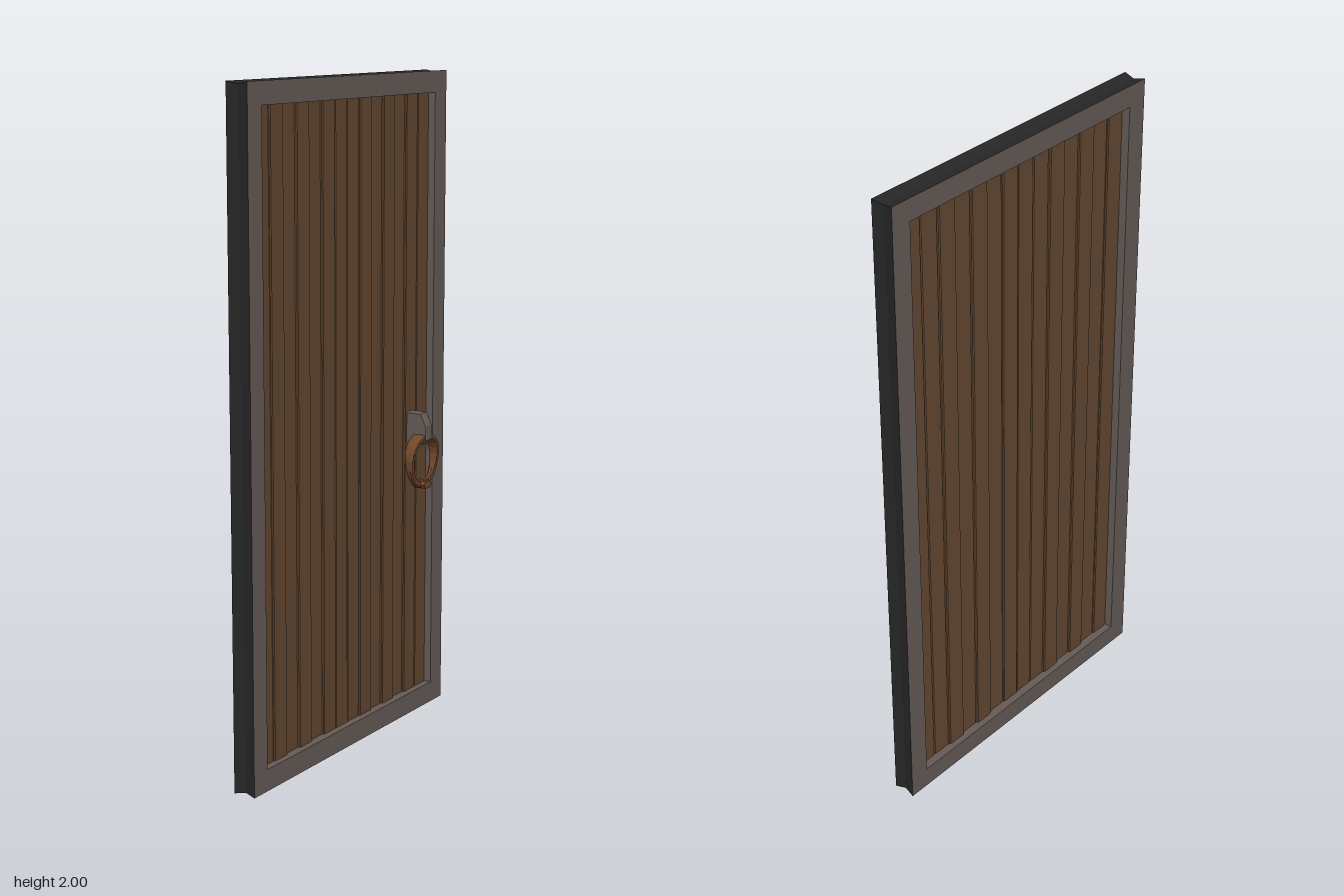
import * as THREE from 'three';

const mat = (name, color) => {
  const m = new THREE.MeshStandardMaterial({ color, flatShading: true });
  m.name = name;
  return m;
};

// Joins closed loops of points into faceted quads; rows[i][k] is point k of loop i.
function loft(rows) {
  const pos = [];
  for (let i = 0; i < rows.length - 1; i++) {
    const n = rows[i].length;
    for (let k = 0; k < n; k++) {
      const j = (k + 1) % n;
      const [a, b, c, d] = [rows[i][k], rows[i][j], rows[i + 1][j], rows[i + 1][k]];
      pos.push(...a, ...b, ...c, ...a, ...c, ...d);
    }
  }
  const g = new THREE.BufferGeometry();
  g.setAttribute('position', new THREE.Float32BufferAttribute(pos, 3));
  g.computeVertexNormals();
  return g;
}

// Rectangle of the door outline, moved inwards by d, at depth x.
const outline = ([x, d]) => [
  [x, d, 0.515 - d], [x, d, -0.515 + d], [x, 2 - d, -0.515 + d], [x, 2 - d, 0.515 - d],
];

export function createModel() {
  const model = new THREE.Group();
  const wood = mat('plank wood', 0x634731);
  const iron = mat('grey iron', 0x655b57);
  const dark = mat('dark edge', 0x272727);
  const bronze = mat('ring bronze', 0x6f472b);

  const add = (name, geometry, material, parent = model) => {
    const mesh = new THREE.Mesh(geometry, material);
    mesh.name = name;
    parent.add(mesh);
    return mesh;
  };

  // Mitred frame with a shallow V groove around the outer edge
  add('frame', loft([[0.01, 0], [0.01, 0.065], [-0.06, 0.065], [-0.06, 0]].map(outline)), iron);
  add('frameEdge', loft([[-0.06, 0], [-0.025, 0.007], [0.01, 0]].map(outline)), dark);

  // Planks at slightly uneven depths, with bevelled long edges
  const planks = new THREE.Group();
  planks.name = 'planks';
  model.add(planks);
  const count = 14, pitch = 0.9 / count, half = pitch / 2;
  const offsets = [0, 0.004, -0.003, 0.003, -0.004, 0.002, 0.002];
  for (let i = 0; i < count; i++) {
    const t = 0.011, b = 0.003;
    const s = new THREE.Shape([
      [-t + b, -half], [t - b, -half], [t, -half + b], [t, half - b],
      [t - b, half], [-t + b, half], [-t, half - b], [-t, -half + b],
    ].map(([x, y]) => new THREE.Vector2(x, y)));
    const g = new THREE.ExtrudeGeometry(s, { depth: 1.88, bevelEnabled: false });
    g.rotateX(-Math.PI / 2);
    const plank = add('plank', g, wood, planks);
    plank.position.set(-0.025 + offsets[i % 7], 0.06, 0.45 - (i + 0.5) * pitch);
  }

  // Handle: bracket, ring and knob
  const handle = new THREE.Group();
  handle.name = 'handle';
  handle.position.set(0, 0, -0.35);
  model.add(handle);

  const side = new THREE.Shape([
    [-0.02, 0.968], [-0.02, 0.87], [0.045, 0.87], [0.058, 0.885], [0.058, 0.93], [0.04, 0.968],
  ].map(([x, y]) => new THREE.Vector2(x, y)));
  const bracket = new THREE.ExtrudeGeometry(side, {
    depth: 0.024, bevelEnabled: true, bevelSegments: 1, bevelSize: 0.003, bevelThickness: 0.006, bevelOffset: -0.003,
  });
  bracket.translate(0, 0, -0.012);
  add('bracket', bracket, iron, handle);

  // Drop-shaped ring, broad at the top and narrowing to a point below
  const steps = 20;
  const section = [[1, 0.6], [1, -0.6], [0.5, -1], [-0.5, -1], [-1, -0.6], [-1, 0.6], [-0.5, 1], [0.5, 1], [1, 0.6]];
  const rows = section.map(([sx, sr]) => {
    const loop = [];
    for (let k = 0; k < steps; k++) {
      const a = (k / steps) * Math.PI * 2;
      const up = Math.sin(a);
      const r = 0.073 + sr * 0.009;
      const point = up < 0 ? 1 + 0.22 * up * up * up * up : 1;
      const drop = up < 0 ? 1.18 : 0.92;
      const width = 0.014 + 0.007 * up;
      loop.push([0.033 + sx * width, 0.828 + r * up * drop, -r * Math.cos(a) * point]);
    }
    return loop;
  });
  add('ring', loft(rows), bronze, handle);

  const knob = new THREE.CylinderGeometry(0.013, 0.013, 0.04, 6);
  knob.rotateZ(Math.PI / 2);
  for (const z of [-0.008, 0.008]) {
    add('knob', knob, bronze, handle).position.set(0.035, 0.743, z);
  }
  return model;
}
